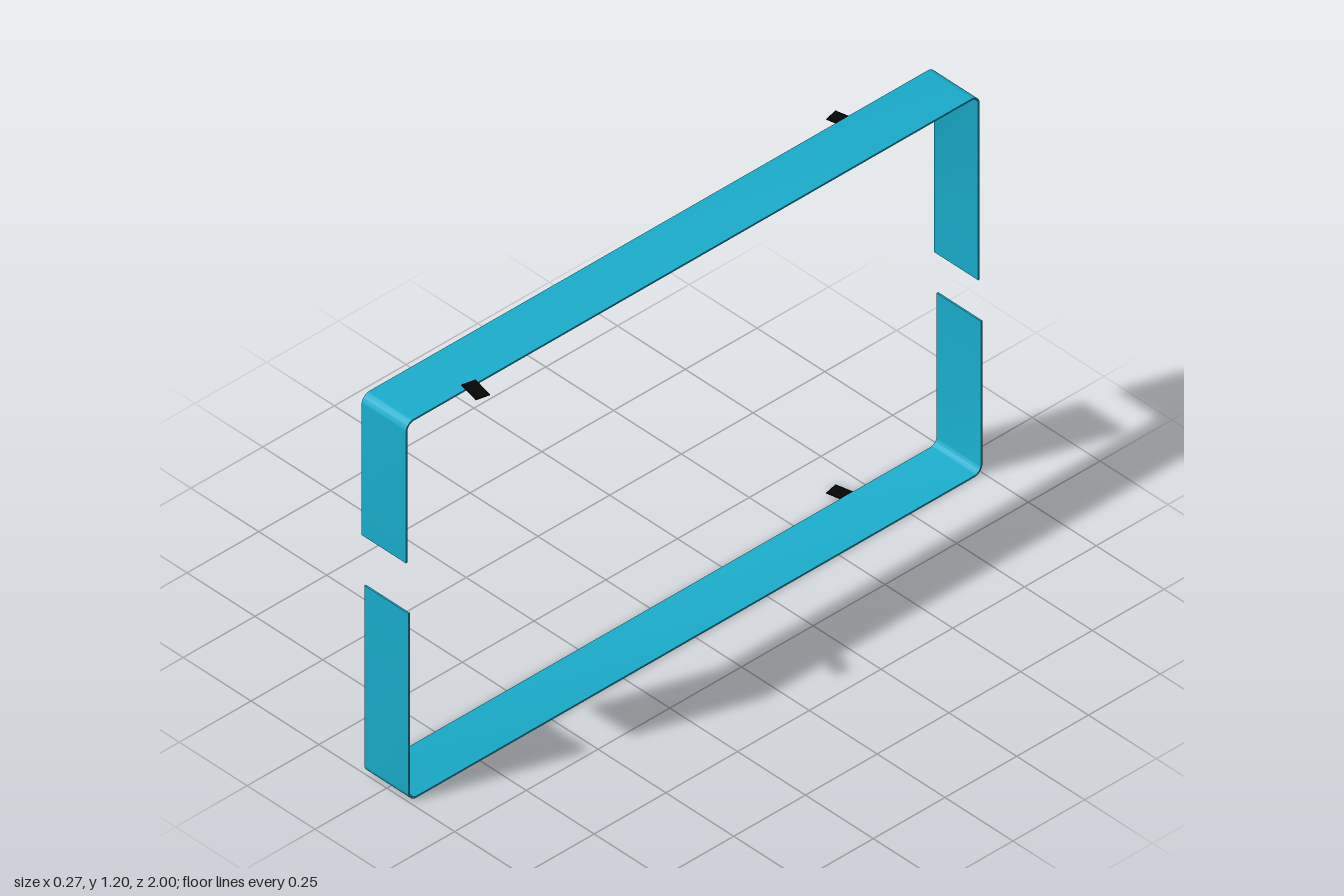
import * as THREE from 'three';
import { toCreasedNormals } from 'three/addons/utils/BufferGeometryUtils.js';

const RADIUS = 0.028;
const THICKNESS = 0.005;
const WIDTH = 0.163;

// U-shaped path in (z, y): front leg end, two rounded corners, back leg end
function bracketPath(frontY, backY, baseY, up, inset) {
  const r = RADIUS - inset;
  const cy = baseY - up * RADIUS;
  const cz = 1 - RADIUS;
  const points = [new THREE.Vector2(cz + r, frontY)];
  for (const side of [1, -1]) {
    for (let i = 0; i <= 8; i++) {
      const a = (side > 0 ? i : 8 - i) / 8 * Math.PI / 2;
      points.push(new THREE.Vector2(side * (cz + r * Math.cos(a)), cy + up * r * Math.sin(a)));
    }
  }
  points.push(new THREE.Vector2(-cz - r, backY));
  return points;
}

// Thin band following the path, swept across x
function makeBand(name, material, frontY, backY, baseY, up, centerX) {
  const outer = bracketPath(frontY, backY, baseY, up, 0);
  const inner = bracketPath(frontY, backY, baseY, up, THICKNESS).reverse();
  let geometry = new THREE.ExtrudeGeometry(new THREE.Shape([...outer, ...inner]), {
    depth: WIDTH, bevelEnabled: false,
  });
  geometry.translate(0, 0, -WIDTH / 2);
  geometry.rotateY(-Math.PI / 2);
  geometry = toCreasedNormals(geometry, 0.6);
  const mesh = new THREE.Mesh(geometry, material);
  mesh.name = name;
  mesh.position.x = centerX;
  return mesh;
}

export function createModel() {
  const group = new THREE.Group();
  group.name = 'splitBandFrame';
  const blue = new THREE.MeshStandardMaterial({ color: 0x1aadcc, side: THREE.DoubleSide });
  const black = new THREE.MeshStandardMaterial({ color: 0x050505 });

  // Two facing bands, slightly offset sideways
  group.add(makeBand('upperBand', blue, 0.755, 0.61, 1.2, 1, -0.011));
  group.add(makeBand('lowerBand', blue, 0.6, 0.485, 0, -1, -0.001));

  // Small skewed tabs on the band edges
  const tabs = [
    ['upperFrontTab', 0.092, 1.2025, 0.777, -0.22],
    ['upperBackTab', -0.096, 1.194, -0.68, 0.22],
    ['lowerBackTab', -0.096, 0.003, -0.68, 0.22],
  ];
  for (const [name, x, y, z, turn] of tabs) {
    const tab = new THREE.Mesh(new THREE.BoxGeometry(0.072, 0.003, 0.042), black);
    tab.name = name;
    tab.position.set(x, y, z);
    tab.rotation.y = turn;
    group.add(tab);
  }
  return group;
}
